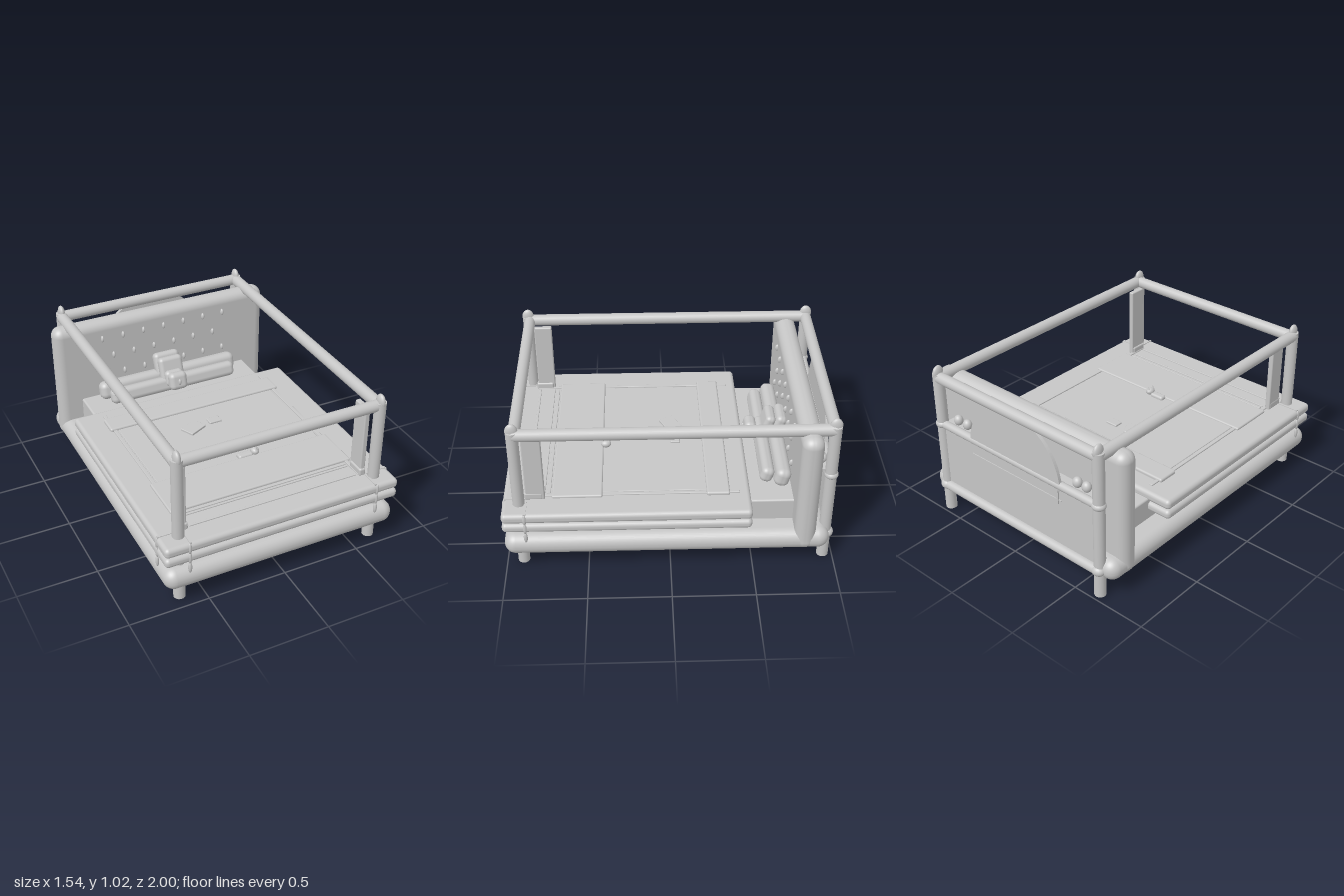
import * as THREE from 'three';
import { RoundedBoxGeometry } from 'three/addons/geometries/RoundedBoxGeometry.js';

export function createModel() {
  const model = new THREE.Group();
  model.name = 'canopyBed';
  const grey = new THREE.MeshStandardMaterial({ color: 0xc6c6c6 });
  grey.name = 'plain grey';

  const add = (name, geometry, x, y, z, parent = model) => {
    const mesh = new THREE.Mesh(geometry, grey);
    mesh.name = name;
    mesh.position.set(x, y, z);
    parent.add(mesh);
    return mesh;
  };
  // Boxes are given by their limits on each axis; r rounds the edges
  const box = (name, x0, x1, y0, y1, z0, z1, r = 0) => {
    const s = [x1 - x0, y1 - y0, z1 - z0];
    const g = r ? new RoundedBoxGeometry(...s, 5, r) : new THREE.BoxGeometry(...s);
    return add(name, g, (x0 + x1) / 2, (y0 + y1) / 2, (z0 + z1) / 2);
  };
  const ball = (name, x, y, z, rx, ry = rx, rz = rx, parent = model) => {
    const mesh = add(name, new THREE.SphereGeometry(1, 20, 14), x, y, z, parent);
    mesh.scale.set(rx, ry, rz);
    return mesh;
  };
  const rod = (name, a, b, r) => {
    const p = new THREE.Vector3(...a), q = new THREE.Vector3(...b);
    const mesh = add(name, new THREE.CylinderGeometry(r, r, p.distanceTo(q), 24), 0, 0, 0);
    mesh.position.copy(p).add(q).multiplyScalar(0.5);
    mesh.quaternion.setFromUnitVectors(new THREE.Vector3(0, 1, 0), q.sub(p).normalize());
    return mesh;
  };

  // Base, plinth and mattress layers
  box('plinth', -0.53, 0.53, 0.005, 0.08, -0.76, 0.76, 0.015);
  box('underFrame', -0.63, 0.63, 0.08, 0.13, -0.9, 0.865, 0.01);
  box('base', -0.76, 0.76, 0.117, 0.257, -0.96, 1, 0.068);
  box('innerMattress', -0.61, 0.61, 0.24, 0.4, -0.76, 0.86, 0.012);
  box('lowerMattress', -0.765, 0.765, 0.312, 0.373, -0.485, 1, 0.026);
  box('upperMattress', -0.765, 0.765, 0.38, 0.445, -0.485, 1, 0.026);

  // Posts, finials, short legs and canopy rails
  const px = 0.645, fz = 0.9, bz = -0.943, railY = 0.944;
  for (const s of [-1, 1]) {
    for (const z of [fz, bz]) {
      rod('post', [s * px, 0, z], [s * px, 0.97, z], 0.036);
      ball('finial', s * px, 0.972, z, 0.022, 0.05, 0.038);
    }
    for (const z of [0.757, -0.78]) rod('shortLeg', [s * 0.56, 0, z], [s * 0.56, 0.1, z], 0.03);
    rod('sideCanopyRail', [s * px, railY, bz], [s * px, railY, fz], 0.037);

    // Curtain gathered at the front post, with its tie
    box('curtain', s * 0.592 - 0.017, s * 0.592 + 0.017, 0.44, 0.92, 0.747, 0.862, 0.008);
    box('curtainTie', s * 0.589 - 0.022, s * 0.589 + 0.022, 0.44, 0.49, 0.757, 0.87, 0.012);

    // Straps around the mattress layers
    for (const y of [0.41, 0.342, 0.275]) {
      ball('frontStrap', s * 0.615, y, 0.992, 0.012, 0.038, 0.012);
      ball('sideStrap', s * 0.76, y, 0.862, 0.01, 0.036, 0.012);
    }
    ball('strapKnob', s * 0.66, 0.262, 0.81, 0.025);

    // Bedspread edge hanging at the side
    box('bedspreadHem', s * 0.615 - 0.015, s * 0.615 + 0.015, 0.29, 0.315, 0.435, 0.715, 0.006);
    for (let i = 0; i < 5; i++) ball('hemScallop', s * 0.615, 0.285, 0.5 + i * 0.042, 0.012, 0.02, 0.02);
    box('hemTab', s * 0.61 - 0.02, s * 0.61 + 0.02, 0.265, 0.315, 0.715, 0.79, 0.012);

    // Long strip beside the bedspread
    box('edgeStrip', s * 0.575 - 0.012, s * 0.575 + 0.012, 0.435, 0.453, -0.42, 0.86, 0.004);
    box('cornerStrip', s * 0.607 - 0.006, s * 0.607 + 0.006, 0.44, 0.45, 0.86, 0.99);
    box('sideCornerStrip', s * 0.685 - 0.07, s * 0.685 + 0.07, 0.44, 0.449, 0.852, 0.868);

    // Corner knobs at the back
    ball('backKnob', s * px, 0.18, -0.955, 0.045, 0.035, 0.04);
    ball('shelfKnob', s * px, 0.625, -0.945, 0.045, 0.03, 0.042);
  }
  for (const z of [fz - 0.01, bz]) rod('canopyRail', [-px, railY, z], [px, railY, z], 0.036);

  // Bedding
  box('bedspread', -0.555, 0.555, 0.435, 0.45, -0.23, 0.42, 0.004);
  box('foldedSheet', -0.605, 0.605, 0.435, 0.465, -0.36, -0.22, 0.012);
  box('foldedBlanket', -0.605, 0.605, 0.435, 0.46, 0.405, 0.707, 0.01);
  for (const [z0, z1] of [[0.715, 0.735], [0.747, 0.757], [0.84, 0.855]])
    box('footTrim', -0.555, 0.555, 0.435, 0.452, z0, z1, 0.003);

  // Headboard with three staggered rows of buttons
  box('headboard', -0.765, 0.765, 0.125, 0.942, -0.875, -0.745, 0.06);
  [[0.825, 7], [0.69, 6], [0.552, 7]].forEach(([y, n]) => {
    for (let i = 0; i < n; i++)
      ball('button', (i - (n - 1) / 2) * 0.147, y, -0.742, 0.011, 0.023, 0.016);
  });

  // Pillows: two long bolsters and a leaning stack in the middle
  const pillow = (name, w, h, d, y, z, tilt) => {
    const r = Math.min(h, d) * 0.42;
    add(name, new RoundedBoxGeometry(w, h, d, 5, r), 0, y, z).rotation.x = tilt;
  };
  pillow('longPillow', 1.0, 0.12, 0.095, 0.462, -0.69, -0.25);
  pillow('shortPillow', 0.91, 0.1, 0.08, 0.455, -0.6, -0.3);
  pillow('backCushion', 0.185, 0.17, 0.07, 0.55, -0.7, -0.4);
  pillow('middleCushion', 0.17, 0.16, 0.065, 0.55, -0.635, -0.35);
  pillow('lowCushion', 0.13, 0.11, 0.07, 0.5, -0.585, -0.35);
  pillow('frontCushion', 0.125, 0.12, 0.075, 0.508, -0.523, -0.25);
  ball('cushionButton', 0, 0.515, -0.485, 0.01, 0.022, 0.012);

  // Things lying on the bed
  box('book', -0.185, -0.05, 0.445, 0.464, -0.075, 0.025, 0.004).rotation.y = 0.45;
  box('smallBook', 0, 0.085, 0.445, 0.462, -0.08, -0.02, 0.006);

  // Resting cat
  const cat = new THREE.Group();
  cat.name = 'cat';
  cat.position.set(0.04, 0.455, 0.39);
  model.add(cat);
  add('catBody', new RoundedBoxGeometry(0.1, 0.035, 0.05, 4, 0.015), 0, 0, 0, cat);
  ball('catHead', 0.067, 0.018, 0, 0.027, 0.024, 0.033, cat);
  for (const s of [-1, 1])
    add('catEar', new THREE.ConeGeometry(0.01, 0.022, 10), 0.067, 0.044, s * 0.02, cat);

  // Back panel, its rails and the half-round crest
  box('backPanel', -0.64, 0.64, 0.19, 0.63, -0.955, -0.93);
  rod('backShelfRail', [-px, 0.625, -0.948], [px, 0.625, -0.948], 0.026);
  rod('backLowerRail', [-px, 0.18, -0.957], [px, 0.18, -0.957], 0.032);
  box('backShelf', -0.62, 0.62, 0.62, 0.64, -0.95, -0.87);
  const half = new THREE.Shape();
  half.absarc(0, 0, 0.37, 0, Math.PI);
  half.closePath();
  add('crest', new THREE.ExtrudeGeometry(half, { depth: 0.02, bevelEnabled: false, curveSegments: 32 }), 0, 0.6, -0.967);
  box('panelGroove', -0.37, 0.37, 0.522, 0.53, -0.96, -0.95);
  box('panelPull', -0.35, -0.34, 0.5, 0.6, -0.963, -0.95);

  // Small ornaments on the back shelf
  for (const x of [-0.52, -0.45, 0.22, 0.46, 0.54]) ball('shelfOrnament', x, 0.668, -0.905, 0.03, 0.034, 0.028);

  return model;
}
